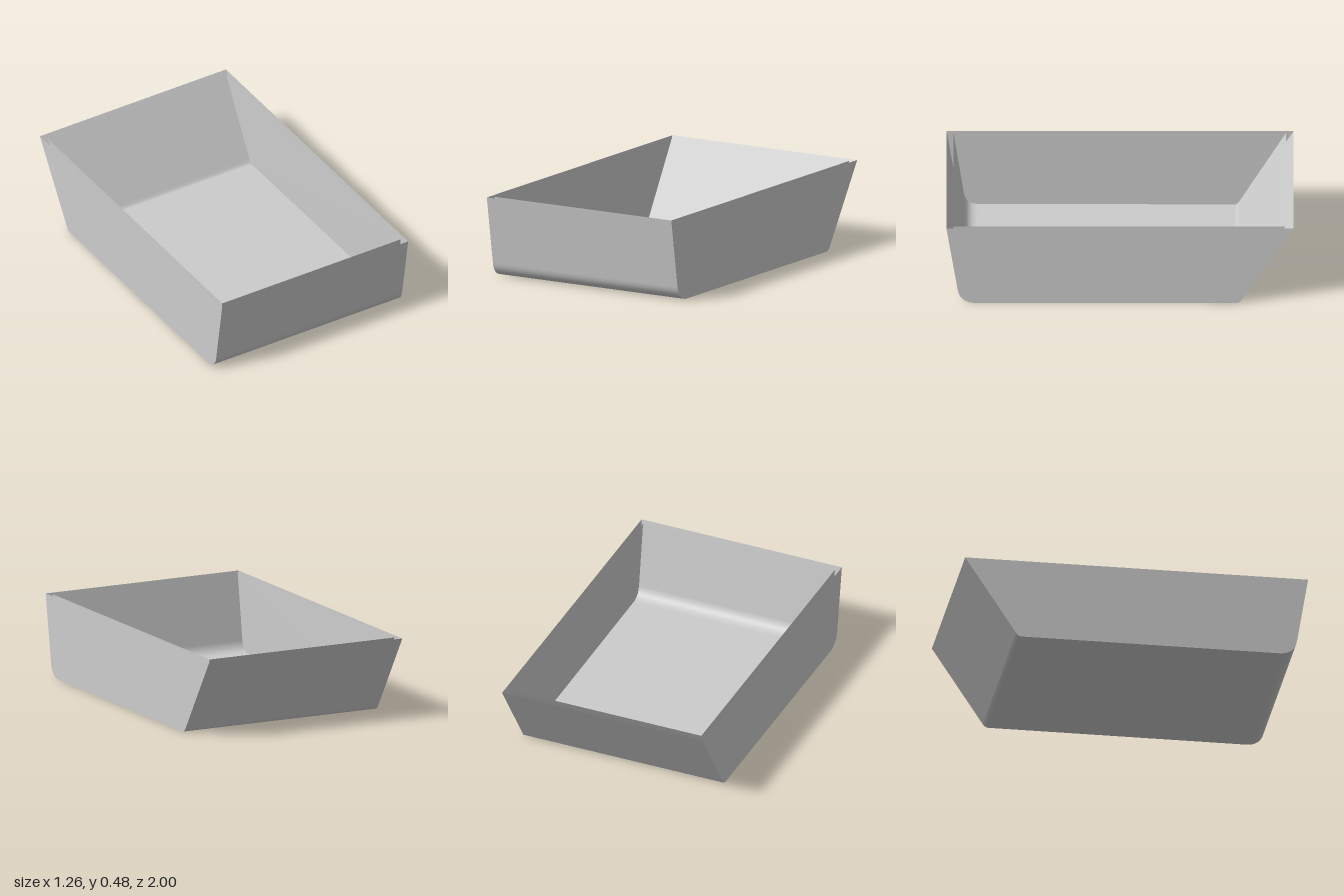
import * as THREE from 'three';

const TOP = 1.545, LEFT = 0.55, RIGHT = -0.71;

// Side profile (z, y) running from the front rim, under the floor, to the back rim
function profile(frontTop, frontFoot, floorFront, floorBack, backFoot, backTop, floorY, cornerY) {
  const p = new THREE.Path();
  p.moveTo(frontTop, TOP);
  p.lineTo(frontFoot, cornerY);
  p.quadraticCurveTo(frontFoot - 0.014, floorY, floorFront, floorY);
  p.lineTo(floorBack, floorY);
  p.quadraticCurveTo(backFoot + 0.015, floorY, backFoot, floorY + 0.025);
  p.lineTo(backTop, TOP);
  return p.getPoints(10);
}

function geometry(positions, index) {
  const g = new THREE.BufferGeometry();
  g.setAttribute('position', new THREE.Float32BufferAttribute(positions, 3));
  g.setIndex(index);
  g.computeVertexNormals();
  return g;
}

// Open-topped tray skin: a bent sheet plus two flat side walls
function traySkin(name, pts, inset, material) {
  const group = new THREE.Group();
  group.name = name;
  const add = (part, g) => {
    const mesh = new THREE.Mesh(g, material);
    mesh.name = part;
    group.add(mesh);
  };
  const left = [], right = [], sheet = [], sheetIndex = [], fan = [], fanBack = [];
  pts.forEach((p, i) => {
    const d = inset(p.x, p.y);
    left.push(LEFT - d, p.y, p.x);
    right.push(RIGHT + d, p.y, p.x);
    sheet.push(RIGHT + d, p.y, p.x, LEFT - d, p.y, p.x);
    if (i > 0) {
      const a = 2 * i - 2;
      sheetIndex.push(a, a + 2, a + 1, a + 1, a + 2, a + 3);
    }
    if (i > 1) {
      fan.push(0, i - 1, i);
      fanBack.push(0, i, i - 1);
    }
  });
  add('frontFloorBack', geometry(sheet, sheetIndex));
  add('leftWall', geometry(left, fan));
  add('rightWall', geometry(right, fanBack));
  return group;
}

export function createModel() {
  const model = new THREE.Group();
  model.name = 'tray';
  const grey = new THREE.MeshStandardMaterial({ color: 0xcccccc, side: THREE.DoubleSide });
  grey.name = 'light grey';

  // Outer skin, with straight sides
  const outer = profile(1, 0.935, 0.83, -0.67, -0.706, -1, 1.065, 1.15);
  model.add(traySkin('outerTray', outer, () => 0, grey));

  // Inner liner, slightly smaller and tapering; the rim gap stays open
  const inner = profile(0.96, 0.9, 0.82, -0.665, -0.69, -0.955, 1.09, 1.155);
  const taper = (z, y) => 0.026 + ((TOP - y) / 0.455) * (0.005 - 0.004 * z);
  model.add(traySkin('innerLiner', inner, taper, grey));

  return model;
}
